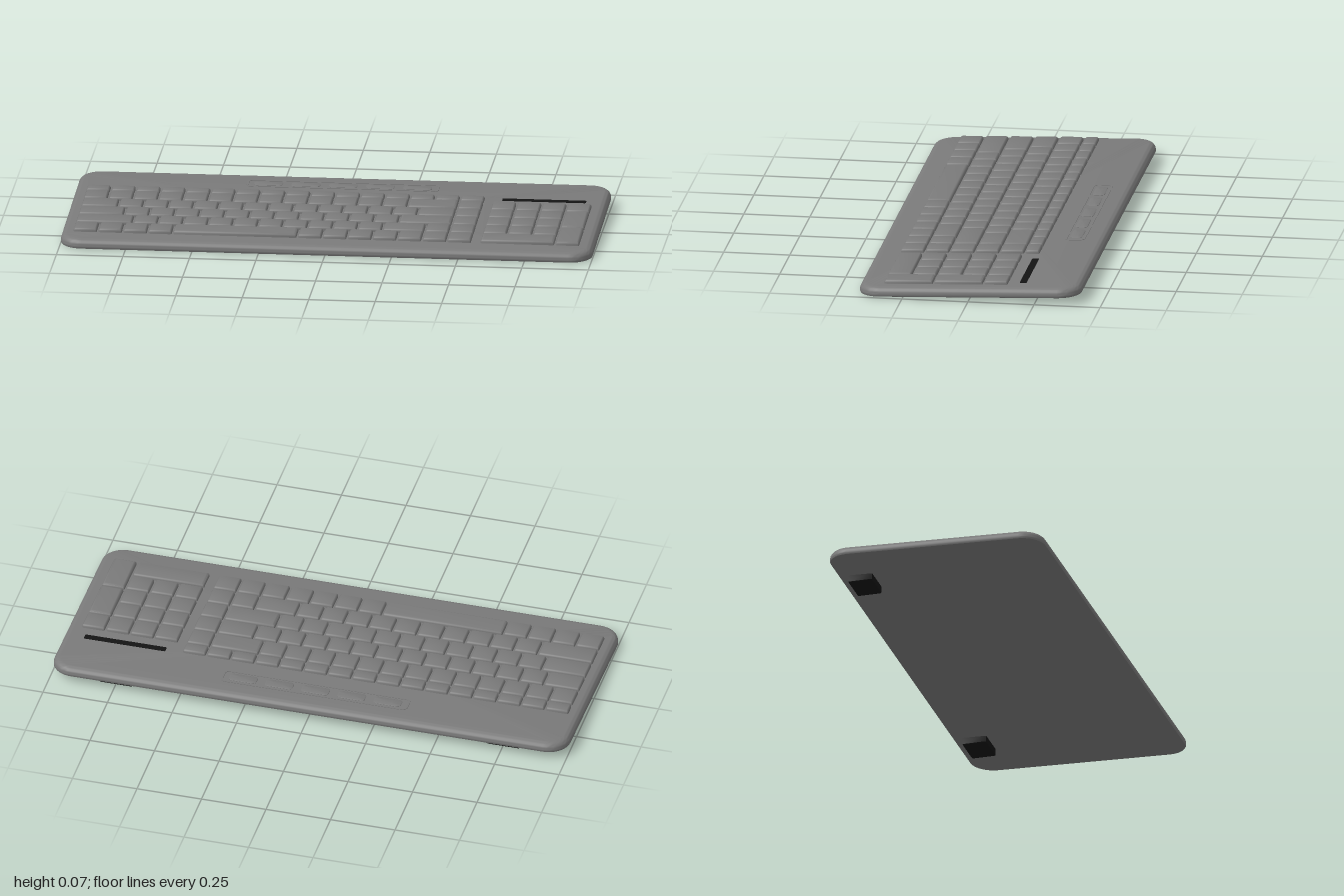
import * as THREE from 'three';
import { toCreasedNormals } from 'three/addons/utils/BufferGeometryUtils.js';

const grey = new THREE.MeshStandardMaterial({ color: 0x7a7a7a });
const black = new THREE.MeshStandardMaterial({ color: 0x141414 });

// Rounded rectangle outline, counter-clockwise, as [x, y] pairs
function outline(w, d, r, seg) {
  const pts = [];
  const signs = [[1, 1], [-1, 1], [-1, -1], [1, -1]];
  signs.forEach(([sx, sy], q) => {
    for (let i = 0; i <= seg; i++) {
      const a = (q + i / seg) * Math.PI / 2;
      pts.push([sx * (w / 2 - r) + r * Math.cos(a), sy * (d / 2 - r) + r * Math.sin(a)]);
    }
  });
  return pts;
}

// Slab lofted through rounded rectangles; profile is [inset, height] from bottom to top
function slab(w, d, r, seg, profile, crease = 0.7) {
  const pos = [], idx = [];
  const n = 4 * (seg + 1);
  for (const [inset, y] of profile) {
    const rr = Math.max(r - inset, 0.002);
    for (const [x, z] of outline(w - 2 * inset, d - 2 * inset, rr, seg)) pos.push(x, y, -z);
  }
  const last = profile.length - 1;
  const bottom = pos.length / 3, top = bottom + 1;
  pos.push(0, profile[0][1], 0, 0, profile[last][1], 0);
  for (let j = 0; j < n; j++) {
    const k = (j + 1) % n;
    for (let i = 0; i < last; i++) {
      const a = i * n + j, b = i * n + k;
      idx.push(a, b, b + n, a, b + n, a + n);
    }
    idx.push(bottom, k, j, top, last * n + j, last * n + k);
  }
  const g = new THREE.BufferGeometry();
  g.setAttribute('position', new THREE.Float32BufferAttribute(pos, 3));
  g.setIndex(idx);
  return toCreasedNormals(g, crease);
}

function add(parent, name, geometry, material, x = 0, y = 0, z = 0) {
  const m = new THREE.Mesh(geometry, material);
  m.name = name;
  m.position.set(x, y, z);
  parent.add(m);
  return m;
}

export function createModel() {
  const model = new THREE.Group();
  model.name = 'keyboard';

  // Everything but the feet leans forward
  const deck = new THREE.Group();
  deck.name = 'deck';
  deck.rotation.x = 0.0357;
  deck.position.y = 0.015;
  model.add(deck);

  // Case with a rounded upper edge
  const T = 0.037, R = 0.025;
  const profile = [[0.008, 0], [0.002, 0.002], [0, 0.006]];
  for (let i = 0; i <= 6; i++) {
    const a = i / 6 * Math.PI / 2;
    profile.push([R * (1 - Math.cos(a)), T - R + R * Math.sin(a)]);
  }
  add(deck, 'case', slab(2, 0.84, 0.085, 10, profile), grey);

  // Tapered keycaps
  const gap = 0.007;
  const capProfile = [[0, -0.002], [0, 0.006], [0.003, 0.011], [0.007, 0.0142], [0.011, 0.015]];
  const keys = new THREE.Group();
  keys.name = 'keys';
  deck.add(keys);
  function key(name, x0, x1, z0, z1) {
    const g = slab(x1 - x0 - gap, z1 - z0 - gap, 0.006, 2, capProfile);
    add(keys, name, g, grey, (x0 + x1) / 2, T, (z0 + z1) / 2);
  }

  // Main block: key widths per row, in units of one key (16 per row)
  const ones = (n) => Array(n).fill(1);
  const rows = [
    ones(16),
    [...ones(13), 2, 1],
    [1.5, ...ones(12), 1.5, 1],
    [1.85, ...ones(11), 2.15, 1],
    [2.3, ...ones(10), 1.7, 1, 1],
    [...ones(4), 5, ...ones(7)],
  ];
  const rowZ = [-0.205, -0.146, -0.051, 0.043, 0.138, 0.232, 0.327];
  const left = -0.957, unit = 1.5 / 16;
  rows.forEach((widths, r) => {
    let x = left;
    for (const w of widths) {
      key('key', x, x + w * unit, rowZ[r], rowZ[r + 1]);
      x += w * unit;
    }
  });

  // Number pad: a 3-wide grid, a wide bottom key and a right column with two tall keys
  const padX = (c) => 0.573 + c * 0.0943;
  for (let r = 1; r <= 4; r++) {
    for (let c = 0; c < 3; c++) key('padKey', padX(c), padX(c + 1), rowZ[r], rowZ[r + 1]);
  }
  key('padWideKey', padX(0), padX(3), rowZ[5], rowZ[6]);
  key('padCornerKey', padX(3), padX(4), rowZ[1], rowZ[2]);
  key('padTallKey', padX(3), padX(4), rowZ[2], rowZ[4]);
  key('padTallKey', padX(3), padX(4), rowZ[4], rowZ[6]);

  // Media panel: thin rim around five low buttons
  const toVec = ([x, y]) => new THREE.Vector2(x, y);
  const rim = new THREE.Shape(outline(0.722, 0.076, 0.018, 5).map(toVec));
  rim.holes.push(new THREE.Path(outline(0.708, 0.062, 0.012, 5).map(toVec).reverse()));
  const rimGeo = new THREE.ExtrudeGeometry(rim, { depth: 0.003, bevelEnabled: false });
  rimGeo.rotateX(-Math.PI / 2);
  add(deck, 'mediaPanelRim', rimGeo, grey, -0.004, T - 0.0015, -0.307);
  const buttonGeo = slab(0.107, 0.046, 0.014, 4, [[0, -0.001], [0, 0.001], [0.004, 0.003], [0.008, 0.0035]]);
  for (let i = -2; i <= 2; i++) {
    add(deck, 'mediaButton', buttonGeo, grey, -0.004 + i * 0.14, T, -0.307);
  }

  // Dark indicator strip above the number pad
  add(deck, 'indicatorStrip', slab(0.315, 0.026, 0.004, 2, [[0, -0.001], [0, 0.0015]]), black, 0.763, T, -0.198);

  // Rear feet
  for (const side of [-1, 1]) {
    const foot = slab(0.13, 0.094, 0.006, 2, [[0.003, 0], [0, 0.003], [0, 0.031]]);
    add(model, 'foot', foot, black, side * 0.75, 0, -0.335);
  }
  return model;
}
